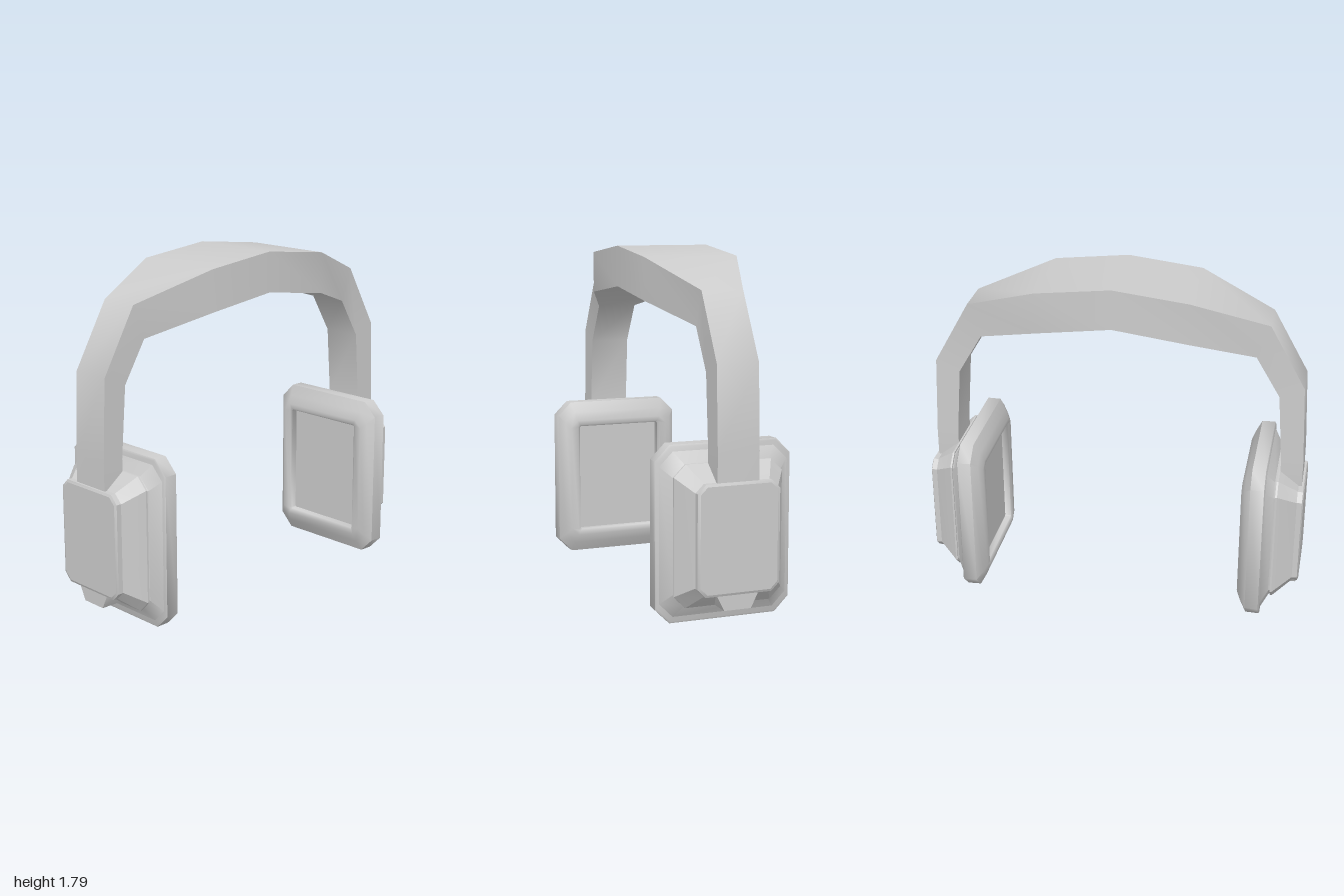
import * as THREE from 'three';
import { toCreasedNormals } from 'three/addons/utils/BufferGeometryUtils.js';

const material = new THREE.MeshStandardMaterial({ color: 0xcccccc });

// Closed skin over a list of rings with equal point counts, capped at both ends
function loft(name, rings, crease) {
  const n = rings[0].length, index = [];
  for (let i = 0; i < rings.length - 1; i++) {
    for (let j = 0; j < n; j++) {
      const k = (j + 1) % n;
      const a = i * n + j, b = i * n + k, c = b + n, d = a + n;
      index.push(a, b, c, a, c, d);
    }
  }
  const last = (rings.length - 1) * n;
  for (let j = 1; j < n - 1; j++) {
    index.push(0, j + 1, j, last, last + j, last + j + 1);
  }
  const geometry = new THREE.BufferGeometry();
  geometry.setAttribute('position', new THREE.Float32BufferAttribute(rings.flat(2), 3));
  geometry.setIndex(index);
  const mesh = new THREE.Mesh(toCreasedNormals(geometry, crease), material);
  mesh.name = name;
  return mesh;
}

// Rectangle with cut corners, lying across x
function octagon([x, halfY, halfZ, cut]) {
  const y = halfY, z = halfZ, c = cut;
  return [
    [y, -z + c], [y, z - c], [y - c, z], [-y + c, z],
    [-y, z - c], [-y, -z + c], [-y + c, -z], [y - c, -z],
  ].map(([py, pz]) => [x, 0.437 + py, pz]);
}

function createHeadband() {
  // outer x, y, inner x, y, half width: from the crown down to the foot of one arm
  const half = [
    [0, 1.79, 0, 1.58, 0.25],
    [0.39, 1.745, 0.385, 1.53, 0.25],
    [0.78, 1.6, 0.715, 1.425, 0.108],
    [0.965, 1.27, 0.84, 1.215, 0.108],
    [0.983, 0.85, 0.868, 0.85, 0.108],
    [0.983, 0.165, 0.868, 0.165, 0.108],
    [0.983, 0.088, 0.868, 0.088, 0.07],
  ];
  const mirrored = half.slice(1).reverse().map(([ox, oy, ix, iy, w]) => [-ox, oy, -ix, iy, w]);
  const rings = [...mirrored, ...half].map(([ox, oy, ix, iy, w]) => [
    [ox, oy, -w], [ox, oy, w], [ix, iy, w], [ix, iy, -w],
  ]);
  return loft('headband', rings, 0.75);
}

function createEarcup(name) {
  const cup = new THREE.Group();
  cup.name = name;
  // Each row: x, half height, half depth, corner cut
  const cushion = [
    [0.725, 0.3, 0.235, 0.006],
    [0.692, 0.302, 0.238, 0.006],
    [0.685, 0.312, 0.25, 0.012],
    [0.685, 0.335, 0.29, 0.04],
    [0.705, 0.382, 0.318, 0.055],
    [0.735, 0.437, 0.352, 0.075],
    [0.805, 0.437, 0.355, 0.075],
    [0.81, 0.428, 0.347, 0.072],
  ];
  const backPlate = [
    [0.8, 0.405, 0.335, 0.07],
    [0.81, 0.405, 0.335, 0.07],
    [0.85, 0.345, 0.28, 0.06],
    [0.87, 0.335, 0.27, 0.06],
  ];
  const shell = [
    [0.858, 0.35, 0.283, 0.06],
    [0.868, 0.35, 0.283, 0.06],
    [0.965, 0.275, 0.215, 0.045],
    [0.97, 0.27, 0.21, 0.04],
  ];
  const outerCap = [
    [0.96, 0.272, 0.213, 0.042],
    [0.994, 0.272, 0.213, 0.042],
    [1, 0.26, 0.2, 0.036],
  ];
  cup.add(
    loft('earCushion', cushion.map(octagon), 0.9),
    loft('backPlate', backPlate.map(octagon), 0.5),
    loft('earcupShell', shell.map(octagon), 0.4),
    loft('outerCap', outerCap.map(octagon), 0.4),
  );
  return cup;
}

export function createModel() {
  const model = new THREE.Group();
  model.name = 'headphones';
  const left = createEarcup('leftEarcup');
  const right = createEarcup('rightEarcup');
  right.rotation.y = Math.PI; // symmetric front to back, so a half turn mirrors it
  model.add(createHeadband(), left, right);
  return model;
}
